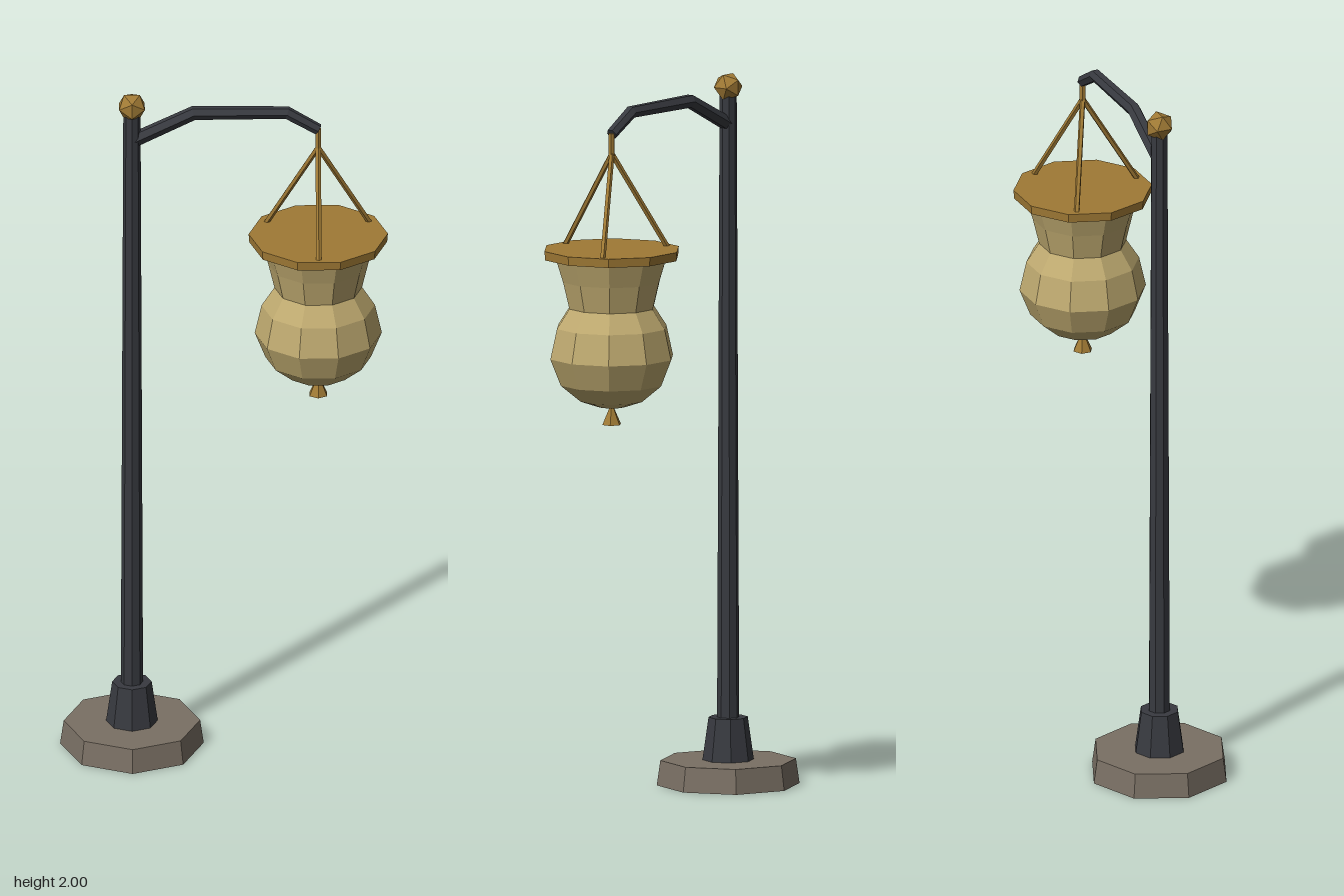
import * as THREE from 'three';

const POST_X = -0.257, BASKET_X = 0.262;

const material = (color, side = THREE.FrontSide) =>
  new THREE.MeshStandardMaterial({ color, flatShading: true, side });

export function createModel() {
  const model = new THREE.Group();
  const stone = material(0x7a7064);
  const iron = material(0x383a40);
  const brass = material(0xa07a35);
  const cream = material(0xbfaa70, THREE.DoubleSide);

  const add = (name, geometry, mat, x, y, z = 0) => {
    const mesh = new THREE.Mesh(geometry, mat);
    mesh.name = name;
    mesh.position.set(x, y, z);
    model.add(mesh);
    return mesh;
  };
  // Upright frustum between two heights
  const frustum = (name, mat, x, y0, y1, r0, r1, sides) =>
    add(name, new THREE.CylinderGeometry(r1, r0, y1 - y0, sides), mat, x, (y0 + y1) / 2);

  // Post on its octagonal foot
  frustum('base', stone, POST_X, 0, 0.07, 0.2, 0.19, 8);
  frustum('collar', iron, POST_X, 0.07, 0.19, 0.072, 0.055, 8);
  frustum('post', iron, POST_X, 0.18, 1.95, 0.031, 0.024, 8);
  add('postFinial', new THREE.IcosahedronGeometry(0.042), brass, POST_X, 1.965);

  // Arm: the rings of a cylinder moved onto a bent path with mitred corners
  const path = [[-0.257, 1.86], [-0.085, 1.945], [0.175, 1.945], [0.262, 1.893]]
    .map(([x, y]) => new THREE.Vector2(x, y));
  const radii = [0.021, 0.02, 0.018, 0.016];
  const last = path.length - 1;
  const arm = new THREE.CylinderGeometry(1, 1, last, 6, last);
  const pos = arm.attributes.position;
  for (let i = 0; i < pos.count; i++) {
    const k = Math.round(pos.getY(i) + last / 2);
    const before = path[Math.max(k, 1)].clone().sub(path[Math.max(k, 1) - 1]).normalize();
    const n = Math.min(k, last - 1);
    const after = path[n + 1].clone().sub(path[n]).normalize();
    const dir = before.add(after).normalize();
    const side = pos.getX(i) * radii[k];
    pos.setXYZ(i, path[k].x + dir.y * side, path[k].y - dir.x * side, pos.getZ(i) * radii[k]);
  }
  arm.computeVertexNormals();
  add('arm', arm, iron, 0, 0);

  // Hook and three suspension rods
  frustum('hook', brass, BASKET_X, 1.825, 1.895, 0.009, 0.009, 6);
  const apex = new THREE.Vector3(BASKET_X, 1.838, 0);
  for (let i = 0; i < 3; i++) {
    const a = (i * Math.PI * 2) / 3;
    const foot = new THREE.Vector3(BASKET_X + 0.17 * Math.sin(a), 1.56, 0.17 * Math.cos(a));
    const dir = apex.clone().sub(foot);
    const mid = foot.clone().add(apex).multiplyScalar(0.5);
    const rod = add('rod', new THREE.CylinderGeometry(0.008, 0.008, dir.length(), 5),
      brass, mid.x, mid.y, mid.z);
    rod.quaternion.setFromUnitVectors(new THREE.Vector3(0, 1, 0), dir.normalize());
  }

  // Ten-sided hanging vessel, a flat facet facing the front
  const turn = Math.PI / 10;
  const rim = frustum('rim', brass, BASKET_X, 1.545, 1.57, 0.192, 0.194, 10);
  rim.rotation.y = turn;
  const profile = [[0, 1.122], [0.04, 1.126], [0.09, 1.143], [0.147, 1.19], [0.177, 1.265],
    [0.158, 1.35], [0.122, 1.405], [0.14, 1.48], [0.162, 1.55]]
    .map(([r, y]) => new THREE.Vector2(r, y));
  const vessel = add('vessel', new THREE.LatheGeometry(profile, 10), cream, BASKET_X, 0);
  vessel.rotation.y = turn;

  // Small flared drop below the vessel
  frustum('drop', brass, BASKET_X, 1.075, 1.126, 0.028, 0.005, 6);

  return model;
}
